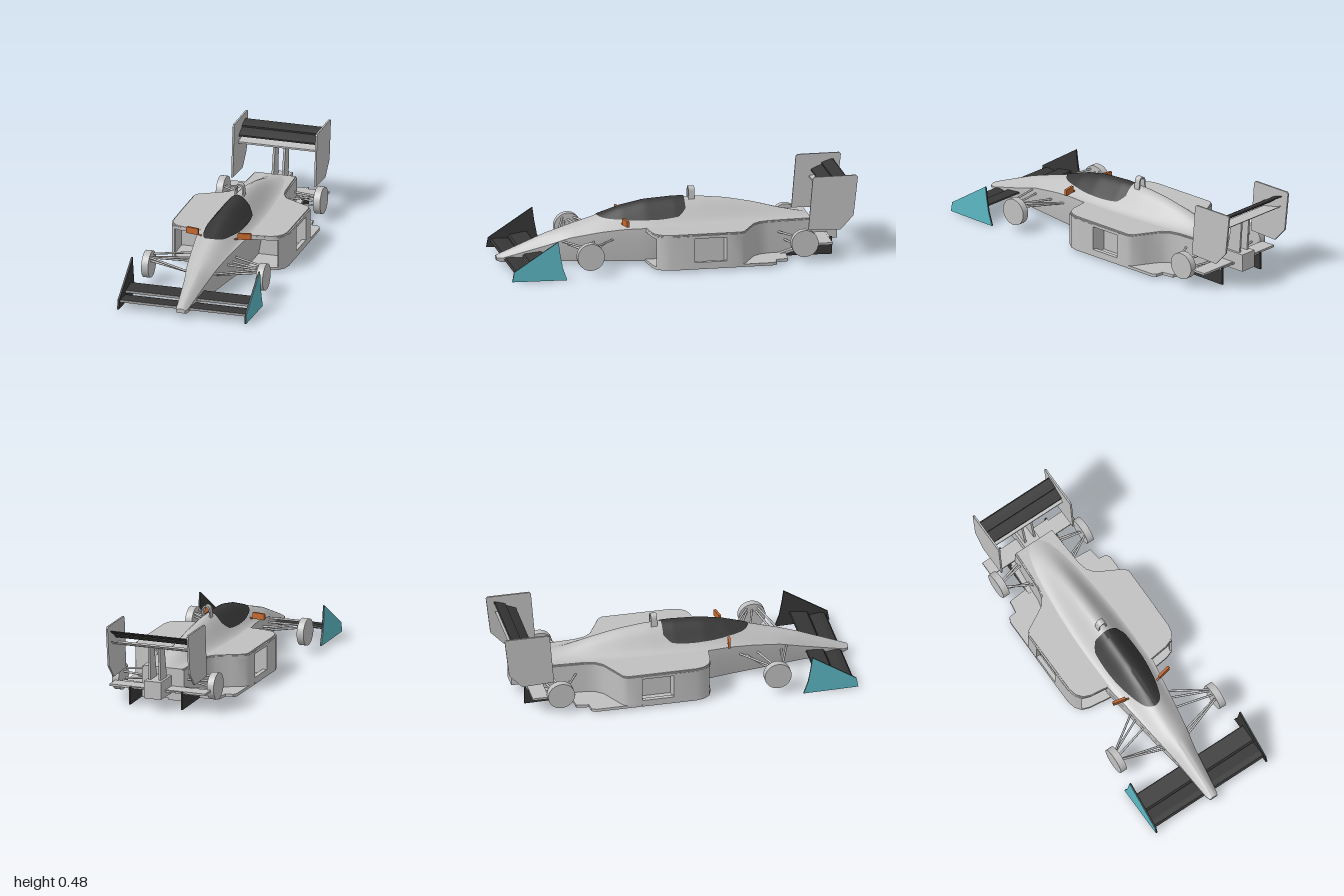
import * as THREE from 'three';
import { toCreasedNormals } from 'three/addons/utils/BufferGeometryUtils.js';

const mat = (name, color) => {
  const m = new THREE.MeshStandardMaterial({ color, side: THREE.DoubleSide });
  m.name = name;
  return m;
};

// Body sections: z, half width, bottom y, shoulder y, top y, crown power
const stations = [
  [1.0, 0.026, 0.035, 0.05, 0.06, 1], [0.97, 0.034, 0.026, 0.05, 0.074, 1],
  [0.72, 0.066, 0.025, 0.12, 0.175, 1], [0.6, 0.088, 0.025, 0.16, 0.212, 1],
  [0.43, 0.113, 0.022, 0.19, 0.263, 1.2], [0.3, 0.132, 0.02, 0.205, 0.306, 1.6],
  [0.17, 0.152, 0.015, 0.21, 0.333, 2], [0, 0.155, 0.015, 0.21, 0.343, 2],
  [-0.15, 0.155, 0.015, 0.21, 0.341, 2.2], [-0.3, 0.15, 0.015, 0.21, 0.324, 2.4],
  [-0.45, 0.138, 0.015, 0.21, 0.293, 2.5], [-0.6, 0.127, 0.015, 0.208, 0.25, 2.5],
  [-0.76, 0.122, 0.04, 0.198, 0.212, 2]];

function sectionAt(z) {
  let i = 0;
  while (i < stations.length - 2 && stations[i + 1][0] > z) i++;
  const a = stations[i], b = stations[i + 1], t = (z - a[0]) / (b[0] - a[0]);
  return a.map((v, k) => THREE.MathUtils.lerp(v, b[k], t));
}

const crownY = ([, w, , ym, yt, p], x) =>
  ym + (yt - ym) * Math.pow(Math.max(0, Math.cos((Math.PI / 2) * (x / w))), p);

// Skin over rows of points, each row running from +x over the top to -x
function skin(rows, closed) {
  const n = rows[0].length, pos = [], idx = [];
  rows.forEach(r => r.forEach(p => pos.push(...p)));
  for (let i = 0; i < rows.length - 1; i++) {
    for (let j = 0; j < (closed ? n : n - 1); j++) {
      const a = i * n + j, a2 = i * n + (j + 1) % n;
      idx.push(a, a + n, a2, a2, a + n, a2 + n);
    }
  }
  if (closed) {
    const last = (rows.length - 1) * n;
    for (let j = 1; j < n - 1; j++) idx.push(0, j, j + 1, last, last + j + 1, last + j);
  }
  const g = new THREE.BufferGeometry();
  g.setAttribute('position', new THREE.Float32BufferAttribute(pos, 3));
  g.setIndex(idx);
  return toCreasedNormals(g, 0.6);
}

const shapeOf = pts => new THREE.Shape(pts.map(p => new THREE.Vector2(...p)));
// Upright plate from [z, y] points, centred on x, thickness t
const sidePlate = (pts, x, t) =>
  new THREE.ExtrudeGeometry(shapeOf(pts), { depth: t, bevelEnabled: false })
    .rotateY(-Math.PI / 2).translate(x + t / 2, 0, 0);
// Flat plate from [x, z] points between two heights
const planPlate = (pts, y0, y1) => toCreasedNormals(
  new THREE.ExtrudeGeometry(shapeOf(pts), { depth: y1 - y0, bevelEnabled: false })
    .rotateX(Math.PI / 2).translate(0, y1, 0), 0.6);
const block = (x0, x1, y0, y1, z0, z1) =>
  new THREE.BoxGeometry(Math.abs(x1 - x0), y1 - y0, Math.abs(z1 - z0))
    .translate((x0 + x1) / 2, (y0 + y1) / 2, (z0 + z1) / 2);

function rod(a, b, r) {
  const A = new THREE.Vector3(...a), B = new THREE.Vector3(...b), d = B.clone().sub(A);
  const g = new THREE.CylinderGeometry(r, r, d.length(), 8);
  g.applyQuaternion(new THREE.Quaternion().setFromUnitVectors(new THREE.Vector3(0, 1, 0), d.normalize()));
  const m = A.add(B).multiplyScalar(0.5);
  return g.translate(m.x, m.y, m.z);
}

export function createModel() {
  const car = new THREE.Group();
  car.name = 'racingCar';
  const grey = mat('bodyGrey', 0xc0c0c0), dark = mat('carbonBlack', 0x363636);
  const teal = mat('endplateTeal', 0x5cb8c4), orange = mat('mirrorOrange', 0xc4692f);
  const add = (name, geo, m = grey) => {
    const mesh = new THREE.Mesh(geo, m);
    mesh.name = name;
    car.add(mesh);
    return mesh;
  };
  const mirror = (s, pts) => pts.map(([x, z]) => [x * s, z]);

  // Nose, tub and engine cover
  const zs = [1, 0.985, 0.97];
  for (let z = 0.92; z > -0.75; z -= 0.04) zs.push(z);
  zs.push(-0.76);
  add('body', skin(zs.map(z => {
    const s = sectionAt(z), [, w, yb, ym] = s, row = [[-w * 0.85, yb, z], [w * 0.85, yb, z], [w, ym * 0.7 + yb * 0.3, z]];
    for (let j = 0; j <= 24; j++) {
      const x = w * Math.cos((j / 24) * Math.PI);
      row.push([x, crownY(s, x), z]);
    }
    row.push([-w, ym * 0.7 + yb * 0.3, z]);
    return row;
  }), true));

  // Cockpit canopy laid just over the body
  const canopy = new THREE.SplineCurve([[0.435, 0.004], [0.42, 0.035], [0.38, 0.06], [0.3, 0.083], [0.2, 0.1],
    [0.1, 0.105], [0, 0.1], [-0.03, 0.09], [-0.06, 0.068]].map(p => new THREE.Vector2(...p)));
  add('canopy', skin(canopy.getPoints(40).map(({ x: z, y: h }) => {
    const s = sectionAt(z);
    return Array.from({ length: 21 }, (_, j) => {
      const x = h * (1 - j / 10);
      return [x * 1.02, crownY(s, x) + 0.005, z];
    });
  }), false), dark);

  // Roll hoop
  const hoop = new THREE.Shape();
  hoop.moveTo(-0.028, 0.33).lineTo(-0.024, 0.375).quadraticCurveTo(-0.02, 0.4, 0, 0.4)
    .quadraticCurveTo(0.02, 0.4, 0.024, 0.375).lineTo(0.028, 0.33).lineTo(0.02, 0.33)
    .lineTo(0.017, 0.37).quadraticCurveTo(0.014, 0.391, 0, 0.391)
    .quadraticCurveTo(-0.014, 0.391, -0.017, 0.37).lineTo(-0.02, 0.33);
  add('rollHoop', new THREE.ExtrudeGeometry(hoop, { depth: 0.035, bevelEnabled: false }).translate(0, 0, -0.12));

  // Gearbox and diffuser roof
  add('gearbox', block(-0.05, 0.05, 0.07, 0.17, -0.92, -0.74));
  add('diffuserRoof', sidePlate([[-0.58, 0.015], [-0.86, 0.1], [-0.86, 0.11], [-0.58, 0.03]], 0, 0.32));
  add('rearDeck', block(-0.285, 0.285, 0.098, 0.11, -0.85, -0.76));

  // Rear wing: pale main plane below two dark flaps
  add('rearMainPlane', sidePlate([[-0.82, 0.345], [-0.87, 0.348], [-0.92, 0.364], [-0.95, 0.385],
    [-0.91, 0.373], [-0.86, 0.36], [-0.82, 0.355]], 0, 0.475));
  add('rearLowerFlap', sidePlate([[-0.83, 0.383], [-0.87, 0.388], [-0.91, 0.415], [-0.9, 0.421], [-0.86, 0.405], [-0.83, 0.392]], 0, 0.475), dark);
  add('rearUpperFlap', sidePlate([[-0.89, 0.418], [-0.925, 0.424], [-0.957, 0.444], [-0.95, 0.447], [-0.92, 0.438], [-0.89, 0.427]], 0, 0.475), dark);

  const endplate = [[0.98, 0.005], [0.97, 0.06], [0.72, 0.222], [0.71, 0.15], [0.695, 0.07], [0.67, 0]];
  for (const s of [1, -1]) {
    // Sidepod: roof, floor, front wall, window sills and solid tail
    const tail = [[0.34, -0.32], [0.325, -0.345], [0.26, -0.38], [0.18, -0.425], [0.15, -0.465], [0.137, -0.52], [0.125, -0.76], [0.03, -0.76]];
    const nose = [[0.14, 0.18], [0.26, 0.165], [0.3, 0.15], [0.328, 0.115], [0.338, 0.07]];
    add('sidepodRoof', planPlate(mirror(s, [[0.03, 0.18], ...nose.map(([x, z]) => [x - 0.008, z]),
      ...tail.map(([x, z]) => [x - 0.008, z])]), 0.19, 0.212));
    add('sidepodRoofEdge', planPlate(mirror(s, [[0.1, 0.175], ...nose, ...tail]), 0.188, 0.205));
    add('floor', planPlate(mirror(s, [[0, 0.18], ...nose, [0.338, -0.5], [0.325, -0.525], [0.28, -0.53],
      [0.27, -0.6], [0.15, -0.61], [0, -0.61]]), 0.012, 0.028));
    add('sidepodFrontWall', planPlate(mirror(s, [[0.34, -0.06], [0.339, 0.07], [0.328, 0.115], [0.303, 0.15],
      [0.295, 0.14], [0.31, 0.1], [0.315, -0.06]]), 0.015, 0.2));
    add('sidepodTail', planPlate(mirror(s, [[0.03, -0.24], [0.34, -0.24], ...tail]), 0.028, 0.2));
    add('windowSill', block(s * 0.315, s * 0.34, 0.015, 0.052, -0.24, -0.06));
    add('windowLintel', block(s * 0.315, s * 0.34, 0.188, 0.205, -0.24, -0.06));
    add('radiatorSide', block(s * 0.1, s * 0.25, 0.02, 0.2, -0.24, -0.02));
    add('radiatorFace', block(s * 0.1, s * 0.325, 0.02, 0.2, -0.06, -0.02));

    // Front wing
    add('frontMainPlane', sidePlate([[0.96, 0.042], [0.95, 0.052], [0.92, 0.056], [0.855, 0.05], [0.855, 0.044], [0.92, 0.038]], s * 0.195, 0.345), dark);
    add('frontFlap', sidePlate([[0.86, 0.062], [0.85, 0.072], [0.755, 0.086], [0.75, 0.08], [0.84, 0.06]], s * 0.21, 0.32), dark);
    add('frontEndplate', sidePlate(endplate, s * 0.369, 0.008), dark);
    add('frontEndplateFace', sidePlate(endplate, s * 0.374, 0.002), teal);

    // Rear wing endplate, pylon and diffuser fin
    add('rearEndplate', sidePlate([[-0.745, 0.47], [-0.755, 0.48], [-0.99, 0.48], [-1, 0.47], [-0.975, 0.25],
      [-0.9, 0.17], [-0.72, 0.178]], s * 0.241, 0.01));
    add('rearPylon', sidePlate([[-0.78, 0.1], [-0.83, 0.35], [-0.9, 0.36], [-0.88, 0.1]], s * 0.03, 0.012));
    add('diffuserFin', sidePlate([[-0.6, 0.014], [-0.8, 0.1], [-0.87, 0.11], [-0.87, 0.01]], s * 0.155, 0.01), dark);

    // Wheels
    for (const [name, x, z, r] of [['frontWheel', 0.333, 0.53, 0.076], ['rearWheel', 0.283, -0.69, 0.076]]) {
      add(name, new THREE.CylinderGeometry(r, r, 0.04, 32).rotateZ(Math.PI / 2).translate(s * x, 0.116, z));
    }

    // Suspension arms: wheel end, body end
    const arms = [
      ['frontArm', [0.32, 0.166, 0.5], [0.1, 0.145, 0.35]], ['frontArm', [0.32, 0.166, 0.56], [0.07, 0.14, 0.64]],
      ['frontArm', [0.32, 0.145, 0.5], [0.09, 0.13, 0.39]], ['frontArm', [0.32, 0.145, 0.55], [0.07, 0.125, 0.61]],
      ['frontPushrod', [0.32, 0.155, 0.53], [0.08, 0.135, 0.46]],
      ['rearArm', [0.27, 0.15, -0.65], [0.11, 0.145, -0.56]], ['rearArm', [0.27, 0.14, -0.68], [0.11, 0.14, -0.71]],
      ['rearArm', [0.27, 0.095, -0.66], [0.11, 0.1, -0.6]], ['rearArm', [0.27, 0.095, -0.7], [0.11, 0.1, -0.74]]];
    for (const [name, a, b] of arms) add(name, rod([a[0] * s, a[1], a[2]], [b[0] * s, b[1], b[2]], 0.006));

    // Mirrors
    const m = new THREE.Shape();
    m.moveTo(-0.032, -0.018).lineTo(0.032, -0.018).quadraticCurveTo(0.038, -0.018, 0.038, -0.012)
      .lineTo(0.038, 0.012).quadraticCurveTo(0.038, 0.018, 0.032, 0.018).lineTo(-0.032, 0.018)
      .quadraticCurveTo(-0.038, 0.018, -0.038, 0.012).lineTo(-0.038, -0.012).quadraticCurveTo(-0.038, -0.018, -0.032, -0.018);
    add('mirror', new THREE.ExtrudeGeometry(m, { depth: 0.014, bevelEnabled: false })
      .translate(0, 0, -0.007).rotateY(s * 0.2).translate(s * 0.151, 0.248, 0.295), orange);
    add('mirrorStalk', rod([s * 0.095, 0.228, 0.305], [s * 0.13, 0.235, 0.3], 0.005), orange);
  }
  return car;
}
